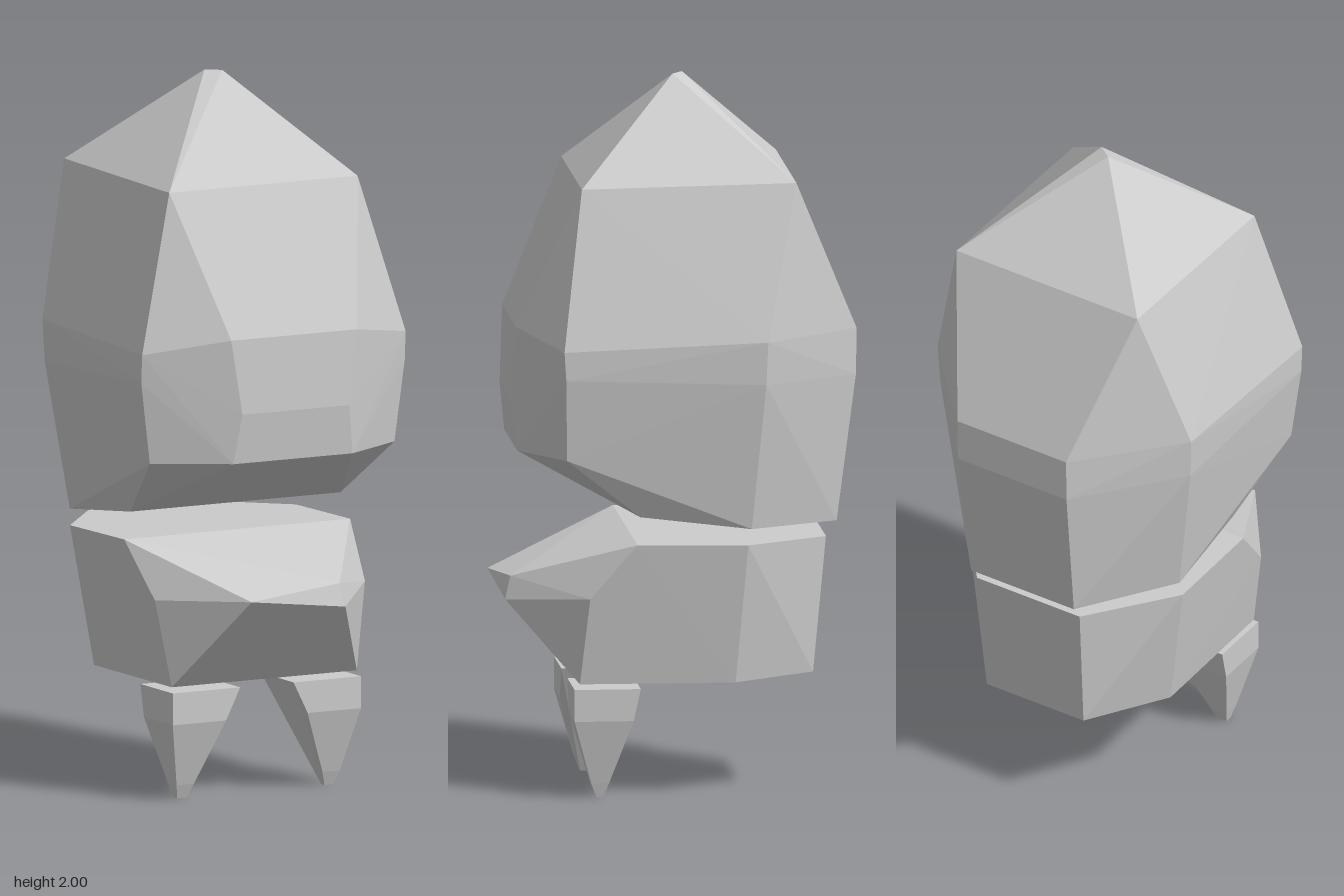
import * as THREE from 'three';
import { ConvexGeometry } from 'three/addons/geometries/ConvexGeometry.js';

const material = new THREE.MeshStandardMaterial({ color: 0xcccccc, flatShading: true });

// Faceted solid: mirrored corner points plus optional one-sided ones
function facetedPart(name, mirrored, single = []) {
  const points = single.map((p) => new THREE.Vector3(...p));
  for (const [x, y, z] of mirrored) {
    points.push(new THREE.Vector3(x, y, z), new THREE.Vector3(-x, y, z));
  }
  const mesh = new THREE.Mesh(new ConvexGeometry(points), material);
  mesh.name = name;
  return mesh;
}

// Tapering fang: rings of [y, xInner, xOuter, zBack, zFront]
function fang(name, side) {
  const rings = [
    [0.31, 0.085, 0.30, 0.115, 0.30],
    [0.22, 0.13, 0.30, 0.135, 0.30],
    [0.04, 0.205, 0.26, 0.20, 0.25],
    [0, 0.22, 0.25, 0.215, 0.235],
  ];
  const points = [];
  for (const [y, x0, x1, z0, z1] of rings) {
    for (const x of [x0, x1]) for (const z of [z0, z1]) points.push([side * x, y, z]);
  }
  return facetedPart(name, [], points);
}

export function createModel() {
  const group = new THREE.Group();
  group.name = 'fangedSkull';

  // Pointed upper head
  group.add(facetedPart('upperHead', [
    // crown corners
    [0.30, 1.72, 0.28], [0.30, 1.73, -0.32],
    // widest ring
    [0.42, 1.28, 0.34], [0.20, 1.32, 0.455],
    [0.42, 1.30, -0.23], [0.18, 1.30, -0.50],
    [0.42, 1.20, 0.335], [0.415, 1.18, -0.225], [0.18, 1.17, -0.498],
    // face front and its lower edge
    [0.17, 1.11, 0.465], [0.39, 0.97, 0.33], [0.19, 0.97, 0.45],
    // underside
    [0.335, 0.80, 0.12], [0.355, 0.765, -0.19], [0.17, 0.757, -0.445],
  ], [[-0.015, 2, -0.03], [0.025, 2, 0]]));

  // Lower jaw with an uneven jutting lip
  group.add(facetedPart('lowerJaw', [
    [0.36, 0.725, 0.13], [0.36, 0.72, -0.18], [0.17, 0.713, -0.415],
    [0.335, 0.57, 0.26],
    [0.295, 0.325, 0.285], [0.30, 0.325, -0.15], [0.16, 0.33, -0.38],
  ], [[-0.16, 0.585, 0.50], [0.14, 0.61, 0.465], [0.15, 0.545, 0.48]]));

  // Fangs below the jaw
  group.add(fang('leftFang', 1), fang('rightFang', -1));
  return group;
}
